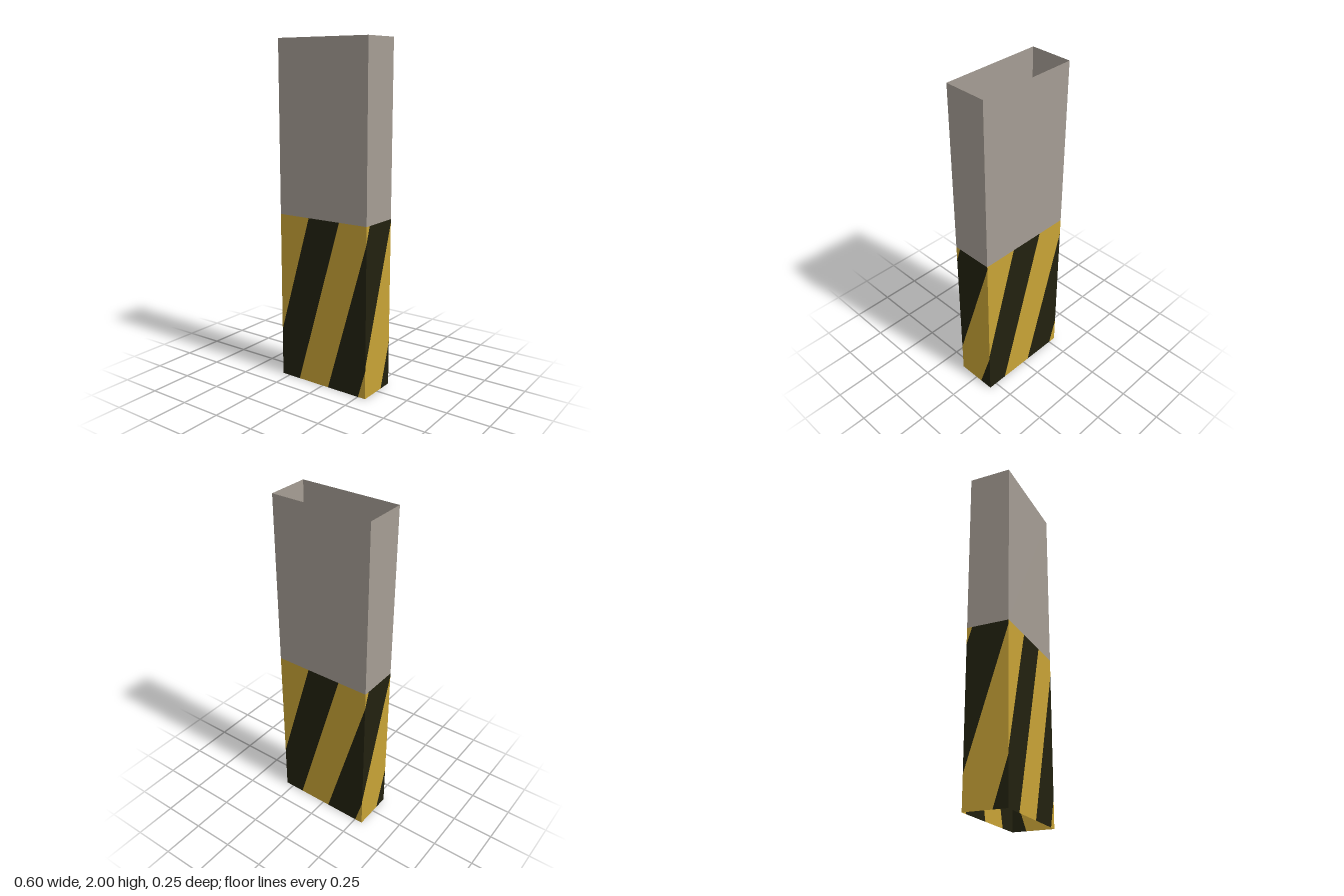
import * as THREE from 'three';

const WIDTH = 0.6, DEPTH = 0.25, HEIGHT = 2, BAND = 1;

const paint = (name, color) => {
  const m = new THREE.MeshStandardMaterial({ color, side: THREE.DoubleSide });
  m.name = name;
  return m;
};

// Keeps the part of a convex polygon where dist(point) >= 0
function clip(points, dist) {
  const out = [];
  points.forEach((a, i) => {
    const b = points[(i + 1) % points.length];
    const da = dist(a), db = dist(b);
    if (da >= 0) out.push(a);
    if (da * db < 0) out.push(a.clone().lerp(b, da / (da - db)));
  });
  return out;
}

const rect = (w, y0, y1) => [
  new THREE.Vector2(-w / 2, y0), new THREE.Vector2(w / 2, y0),
  new THREE.Vector2(w / 2, y1), new THREE.Vector2(-w / 2, y1),
];

export function createModel() {
  const grey = paint('concrete grey', 0xa59d94);
  const yellow = paint('warning yellow', 0xc8a336);
  const black = paint('warning black', 0x22210f);

  // One wall: plain upper half, slanted stripes on the lower half.
  // start = foot of a black stripe's left edge, lean = sideways shift per unit of height
  function makeWall(name, w, offset, angle, { start, stripe, lean }) {
    const wall = new THREE.Group();
    wall.name = name;
    const add = (part, points, material) => {
      if (points.length < 3) return;
      const mesh = new THREE.Mesh(new THREE.ShapeGeometry(new THREE.Shape(points)), material);
      mesh.name = part;
      mesh.position.z = offset;
      wall.add(mesh);
    };
    add('upperPanel', rect(w, BAND, HEIGHT), grey);
    for (let i = -4; i < 6; i++) {
      const left = start + i * stripe;
      let points = clip(rect(w, 0, BAND), p => p.x - left - lean * p.y);
      points = clip(points, p => left + stripe + lean * p.y - p.x);
      add(i % 2 ? 'yellowStripe' : 'blackStripe', points, i % 2 ? yellow : black);
    }
    wall.rotation.y = angle;
    return wall;
  }

  const broad = { start: 0.04, stripe: 0.2115, lean: 0.289 };
  const narrow = { start: 0.041, stripe: 0.226, lean: 0.317 };

  // Open sleeve of four thin walls
  const model = new THREE.Group();
  model.name = 'stripedPillar';
  model.add(
    makeWall('frontWall', WIDTH, DEPTH / 2, 0, broad),
    makeWall('leftWall', DEPTH, WIDTH / 2, Math.PI / 2, narrow),
    makeWall('backWall', WIDTH, DEPTH / 2, Math.PI, broad),
    makeWall('rightWall', DEPTH, WIDTH / 2, -Math.PI / 2, narrow),
  );
  return model;
}
